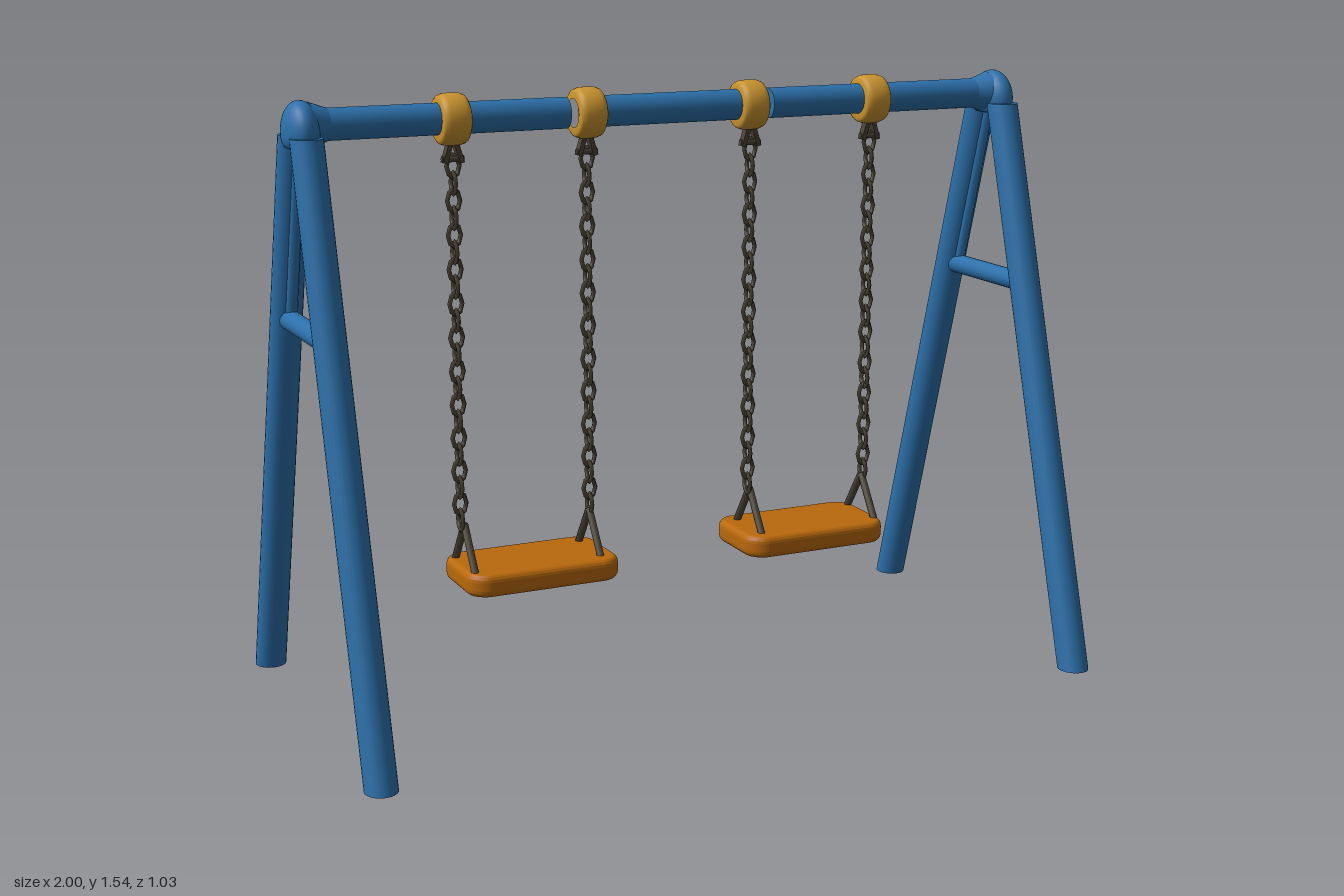
import * as THREE from 'three';

const mat = (name, color, side = THREE.FrontSide) => {
  const m = new THREE.MeshStandardMaterial({ color, side });
  m.name = name;
  return m;
};

export function createModel() {
  const blue = mat('blue paint', 0x2c70aa);
  const amber = mat('amber clamp', 0xcb9530);
  const orange = mat('orange seat', 0xb9690c);
  const steel = mat('dark steel', 0x4b4436);

  const root = new THREE.Group();
  root.name = 'swingSet';
  const V = (x, y, z) => new THREE.Vector3(x, y, z);

  const add = (parent, name, geometry, material, x = 0, y = 0, z = 0) => {
    const mesh = new THREE.Mesh(geometry, material);
    mesh.name = name;
    mesh.position.set(x, y, z);
    parent.add(mesh);
    return mesh;
  };

  // Round bar between two points
  const bar = (parent, name, a, b, r, material, sides = 20) => {
    const d = b.clone().sub(a);
    const mesh = add(parent, name, new THREE.CylinderGeometry(r, r, d.length(), sides), material);
    mesh.position.copy(a).add(b).multiplyScalar(0.5);
    mesh.quaternion.setFromUnitVectors(V(0, 1, 0), d.normalize());
    return mesh;
  };

  const beamY = 1.48;
  const beamR = 0.039;

  // Overhead beam in three lengths with narrow gaps beside the inner clamps
  for (const [a, b] of [[-0.955, -0.284], [-0.235, 0.225], [0.275, 0.955]]) {
    bar(root, 'topBeam', V(a, beamY, 0), V(b, beamY, 0), beamR, blue, 28);
  }

  // Sloping leg: a sheared cylinder, so both ends stay level
  const legTop = 1.455;
  const legGeometry = (s) => {
    const g = new THREE.CylinderGeometry(0.04, 0.04, legTop, 24);
    g.scale(1, 1, 1.06);
    g.translate(0, legTop / 2, 0);
    const slope = (0.05 - 0.473) / legTop;
    g.applyMatrix4(new THREE.Matrix4().set(
      1, 0, 0, 0,
      0, 1, 0, 0,
      0, s * slope, 1, s * 0.473,
      0, 0, 0, 1));
    return g;
  };

  // Domed joint over the legs
  const dome = [new THREE.Vector2(0, -0.035), new THREE.Vector2(0.062, -0.035)];
  for (let i = 0; i <= 12; i++) {
    const t = -0.3 + (Math.PI / 2 + 0.3) * i / 12;
    dome.push(new THREE.Vector2(Math.max(0, 0.076 * Math.cos(t)), 0.076 * Math.sin(t)));
  }
  const domeGeometry = new THREE.LatheGeometry(dome, 32);
  domeGeometry.scale(0.58, 1, 1);

  // End frames
  for (const side of [-1, 1]) {
    const frame = new THREE.Group();
    frame.name = side > 0 ? 'leftFrame' : 'rightFrame';
    frame.position.x = side * 0.956;
    root.add(frame);
    add(frame, 'jointCap', domeGeometry, blue, 0, 1.464, 0);
    const collar = add(frame, 'jointCollar',
      new THREE.CylinderGeometry(0.055, beamR, 0.045, 28), blue, -side * 0.042, beamY, 0);
    collar.rotation.z = -side * Math.PI / 2;
    for (const s of [-1, 1]) {
      add(frame, s > 0 ? 'frontLeg' : 'backLeg', legGeometry(s), blue);
      bar(frame, 'innerBrace', V(0, 1.44, s * 0.014), V(0, 1.0, s * 0.138), 0.014, blue, 10);
    }
    bar(frame, 'crossBar', V(0, 0.99, -0.17), V(0, 0.99, 0.17), 0.026, blue, 16);
  }

  // Rounded clamp ring around the beam
  const ring = [[0.036, -0.036], [0.052, -0.036], [0.059, -0.031], [0.063, -0.02], [0.064, 0],
    [0.063, 0.02], [0.059, 0.031], [0.052, 0.036], [0.036, 0.036]];
  const ringGeometry = new THREE.LatheGeometry(ring.map(([r, y]) => new THREE.Vector2(r, y)), 28);
  ringGeometry.rotateZ(Math.PI / 2);

  // Elongated chain link
  const linkGeometry = new THREE.TorusGeometry(0.0165, 0.0058, 5, 8);
  linkGeometry.scale(1, 1.5, 1);

  // Seat: rounded rectangle with softened edges
  const seatGeometry = (() => {
    const w = 0.19, d = 0.105, r = 0.04;
    const s = new THREE.Shape();
    s.absarc(w - r, d - r, r, 0, Math.PI / 2);
    s.absarc(r - w, d - r, r, Math.PI / 2, Math.PI);
    s.absarc(r - w, r - d, r, Math.PI, Math.PI * 1.5);
    s.absarc(w - r, r - d, r, Math.PI * 1.5, Math.PI * 2);
    const g = new THREE.ExtrudeGeometry(s, {
      depth: 0.022, bevelEnabled: true, bevelThickness: 0.018, bevelSize: 0.015,
      bevelSegments: 4, curveSegments: 6,
    });
    g.rotateX(-Math.PI / 2);
    return g;
  })();

  // Swings
  for (const [name, seatX, xs] of [
    ['rightSwing', -0.39, [-0.583, -0.229]],
    ['leftSwing', 0.386, [0.22, 0.575]],
  ]) {
    const swing = new THREE.Group();
    swing.name = name;
    root.add(swing);
    add(swing, 'seat', seatGeometry, orange, seatX, 0.317, 0);

    xs.forEach((x, k) => {
      add(swing, 'beamClamp', ringGeometry, amber, x, beamY - 0.002, 0);
      const cx = x + (k ? -0.001 : 0.002) + (seatX > 0 ? 0.003 : 0);

      // Hanger: two splayed plates with a pin
      for (const s of [-1, 1]) {
        const plate = add(swing, 'hangerPlate', new THREE.BoxGeometry(0.012, 0.06, 0.022),
          steel, cx + s * 0.013, 1.401, 0);
        plate.rotation.z = s * 0.3;
      }
      bar(swing, 'hangerPin', V(cx - 0.028, 1.382, 0), V(cx + 0.028, 1.382, 0), 0.008, steel, 8);

      // Chain of links turned alternately
      const chain = new THREE.Group();
      chain.name = 'chain';
      swing.add(chain);
      const count = 22;
      for (let i = 0; i < count; i++) {
        const y = 1.365 - i * (1.365 - 0.475) / (count - 1);
        const link = add(chain, 'chainLink', linkGeometry, steel, cx, y, 0);
        link.rotation.y = i % 2 ? Math.PI / 2 : 0;
      }

      // Forked strap down to the seat
      const sx = x + (k ? -0.002 : 0.012);
      for (const s of [-1, 1]) {
        bar(swing, 'seatStrap', V(sx, 0.462, 0), V(sx, 0.345, s * 0.078), 0.01, steel, 8);
      }
    });
  }
  return root;
}
